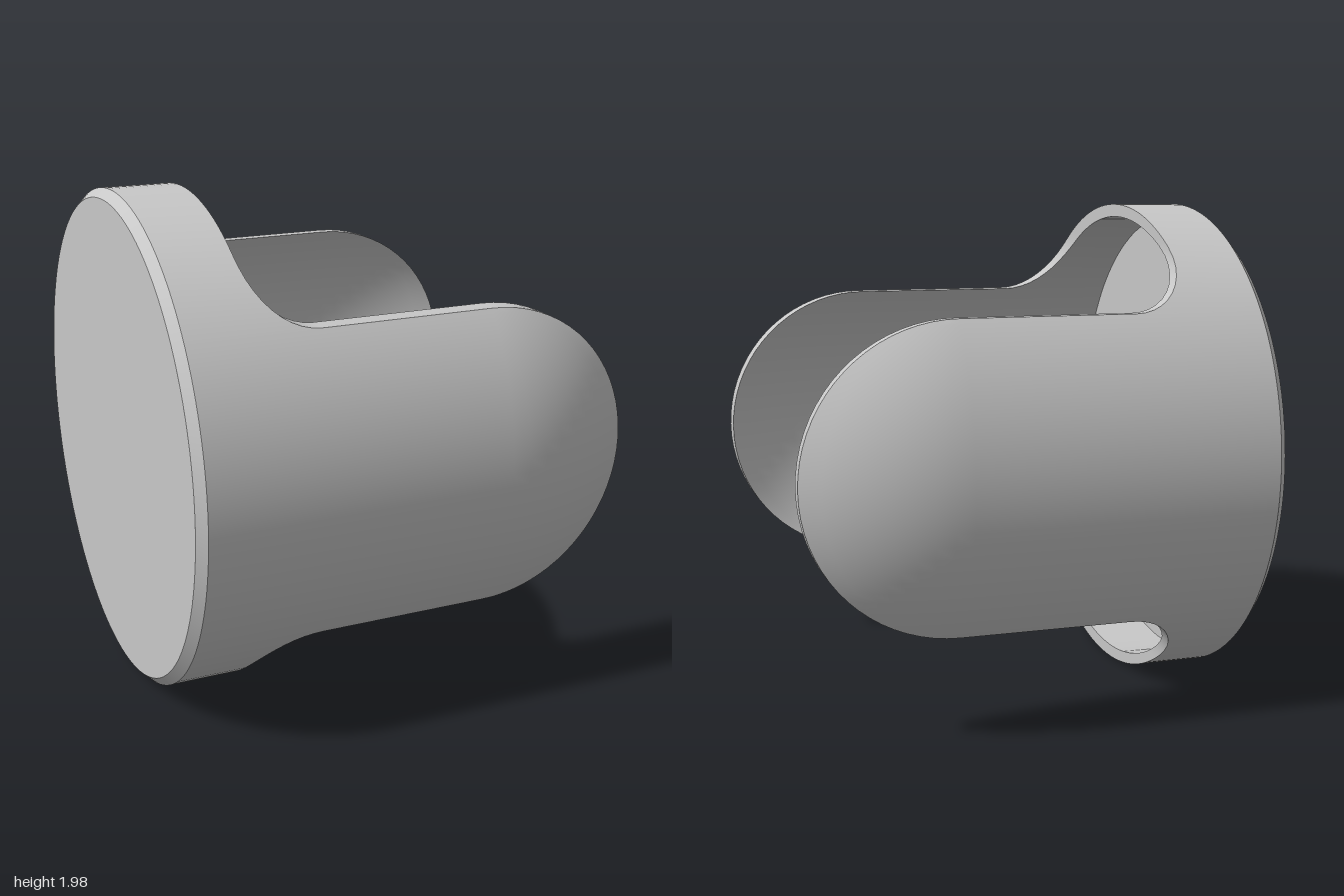
import * as THREE from 'three';
import { toCreasedNormals } from 'three/addons/utils/BufferGeometryUtils.js';

const RO = 1, RI = 0.948, INNER_Z = -0.018; // outer radius, inner radius, bore offset
const BACK = -0.92, FLOOR = -0.865, LIP = -0.61; // stations along x
const DOME = 0.32, HALF = 0.6, FILLET = 0.24; // prong tip centre, half width, root fillet
const TOP = HALF + FILLET;
const STEPS = 8;

// Half of the cut outline from the rim top to the prong tip, as [height from axis, x of edge]
function halfOutline() {
  const pts = [];
  const a0 = Math.asin(TOP);
  for (let i = 0; i < 12; i++) {
    pts.push([Math.sin(Math.PI / 2 + (a0 - Math.PI / 2) * i / 12), LIP]);
  }
  for (let i = 0; i <= 10; i++) {
    const a = i / 10 * Math.PI / 2;
    pts.push([TOP - FILLET * Math.sin(a), LIP + FILLET * (1 - Math.cos(a))]);
  }
  for (let i = 0; i <= 18; i++) {
    const a = i / 18 * Math.PI / 2;
    pts.push([HALF * Math.cos(a), DOME + HALF * Math.sin(a)]);
  }
  return pts;
}

// Wall point: a cylinder that turns into a sphere beyond the dome station
function wall(x, y, r, side, zOff) {
  const d = Math.max(0, x - DOME);
  return [x, y, zOff + side * Math.sqrt(Math.max(0, r * r - y * y - d * d))];
}

// One closed section: back face, chamfer, outer wall, edge, inner wall, floor
function section(v, edge, side) {
  const h = Math.abs(v);
  const vi = h <= TOP ? v : Math.sign(v) * (TOP + (h - TOP) * (RI - TOP) / (RO - TOP));
  const bend = Math.min(edge, DOME);
  const xs = [];
  for (let i = 0; i <= STEPS; i++) xs.push(bend + (edge - bend) * i / STEPS);
  const rim = wall(BACK, v, RO, side, 0);
  return [
    [BACK, 0, 0],
    [BACK, rim[1] * 0.965, rim[2] * 0.965],
    wall(BACK + 0.035, v, RO, side, 0),
    ...xs.map((x) => wall(x, v, RO, side, 0)),
    ...xs.reverse().map((x) => wall(x, vi, RI, side, INNER_Z)),
    wall(FLOOR, vi, RI, side, INNER_Z),
    [FLOOR, 0, INNER_Z],
  ];
}

function shellGeometry() {
  const half = halfOutline();
  const lower = half.slice(0, -1).reverse().map(([v, x]) => [-v, x]);
  const front = [...half, ...lower];
  const columns = [
    ...front.map(([v, x]) => section(v, x, 1)),
    ...front.slice(1, -1).reverse().map(([v, x]) => section(v, x, -1)),
  ];
  const positions = [];
  const tri = new THREE.Triangle();
  const add = (a, b, c) => {
    tri.a.fromArray(a);
    tri.b.fromArray(b);
    tri.c.fromArray(c);
    if (tri.getArea() > 1e-8) positions.push(...a, ...b, ...c);
  };
  columns.forEach((p, i) => {
    const q = columns[(i + 1) % columns.length];
    for (let j = 0; j < p.length - 1; j++) {
      add(p[j], q[j], q[j + 1]);
      add(p[j], q[j + 1], p[j + 1]);
    }
  });
  const geo = new THREE.BufferGeometry();
  geo.setAttribute('position', new THREE.Float32BufferAttribute(positions, 3));
  return toCreasedNormals(geo, 0.5);
}

export function createModel() {
  const grey = new THREE.MeshStandardMaterial({ color: 0xc8c8c8 });
  grey.name = 'grey';

  // Slightly oval cup with two rounded prongs, lying on its side
  const geo = shellGeometry();
  geo.scale(1, 0.99, 1);
  geo.translate(0, 0.99, 0);
  const shell = new THREE.Mesh(geo, grey);
  shell.name = 'prongedCup';

  const group = new THREE.Group();
  group.name = 'twoProngedCap';
  group.add(shell);
  return group;
}
